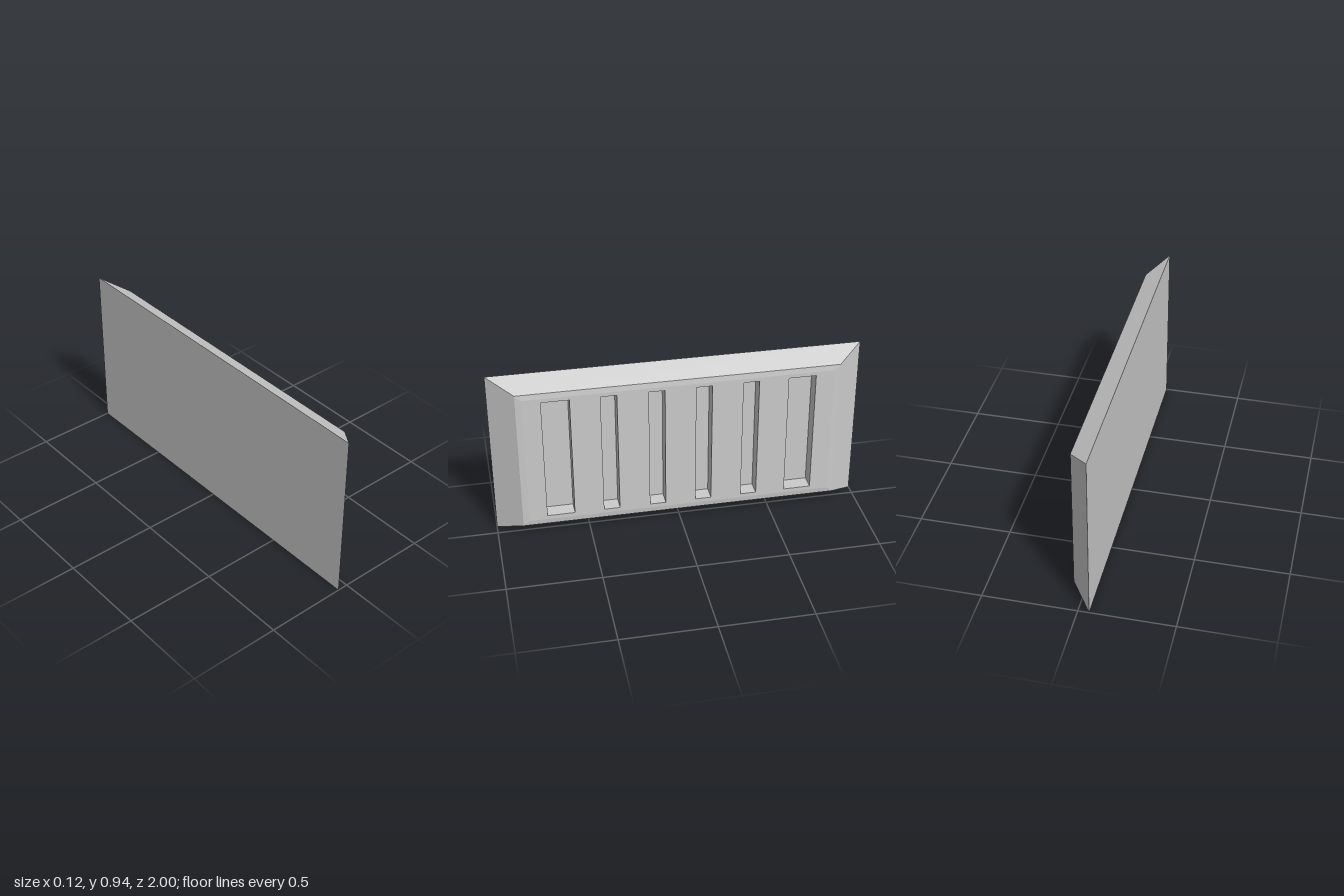
import * as THREE from 'three';

const BACK = -0.058, FACE = 0.058, FLOOR = -0.026;

// Rectangle at a given x, corners counter-clockwise as seen from +x
const ring = (x, z0, z1, y0, y1) => [[x, y0, z1], [x, y0, z0], [x, y1, z0], [x, y1, z1]];

// Joins successive rectangles with flat quads, optionally capping either end
function loft(rings, { capFirst = false, capLast = false } = {}) {
  const pos = [];
  const quad = (a, b, c, d) => pos.push(...a, ...b, ...c, ...a, ...c, ...d);
  for (let r = 0; r + 1 < rings.length; r++) {
    const [a, b] = [rings[r], rings[r + 1]];
    for (let i = 0; i < 4; i++) {
      const j = (i + 1) % 4;
      quad(a[i], a[j], b[j], b[i]);
    }
  }
  if (capFirst) quad(...[...rings[0]].reverse());
  if (capLast) quad(...rings[rings.length - 1]);
  const geo = new THREE.BufferGeometry();
  geo.setAttribute('position', new THREE.Float32BufferAttribute(pos, 3));
  geo.computeVertexNormals();
  return geo;
}

function rectPath(path, z0, z1, y0, y1) {
  path.moveTo(z0, y0);
  path.lineTo(z1, y0);
  path.lineTo(z1, y1);
  path.lineTo(z0, y1);
  path.closePath();
  return path;
}

export function createModel() {
  const group = new THREE.Group();
  group.name = 'ventPanel';
  const material = new THREE.MeshStandardMaterial({ color: 0xcccccc, flatShading: true });
  const add = (name, geo) => {
    const mesh = new THREE.Mesh(geo, material);
    mesh.name = name;
    group.add(mesh);
    return mesh;
  };

  // Bevelled body: flat back, sloping sides, shallow lip around the face
  add('bevelledBody', loft([
    ring(BACK, -1, 1, 0, 0.936),
    ring(0.054, -0.862, 0.862, 0.065, 0.871),
    ring(FACE, -0.83, 0.83, 0.095, 0.841),
  ], { capFirst: true }));

  // Slots: narrow inner ones and a wide outer one, mirrored front to back
  const slots = [];
  for (const [centre, width] of [[0.126, 0.086], [0.379, 0.086], [0.656, 0.148]]) {
    for (const s of [-1, 1]) {
      slots.push([s * centre - width / 2, s * centre + width / 2, 0.117, 0.819]);
    }
  }

  // Face plate pierced by the slots
  const face = rectPath(new THREE.Shape(), -0.83, 0.83, 0.095, 0.841);
  for (const s of slots) face.holes.push(rectPath(new THREE.Path(), ...s));
  add('facePlate', new THREE.ShapeGeometry(face).rotateY(Math.PI / 2).translate(FACE, 0, 0));

  // Walls and floor of each recess
  for (const s of slots) {
    add('slotRecess', loft([ring(FACE, ...s), ring(FLOOR, ...s)], { capLast: true }));
  }
  return group;
}
